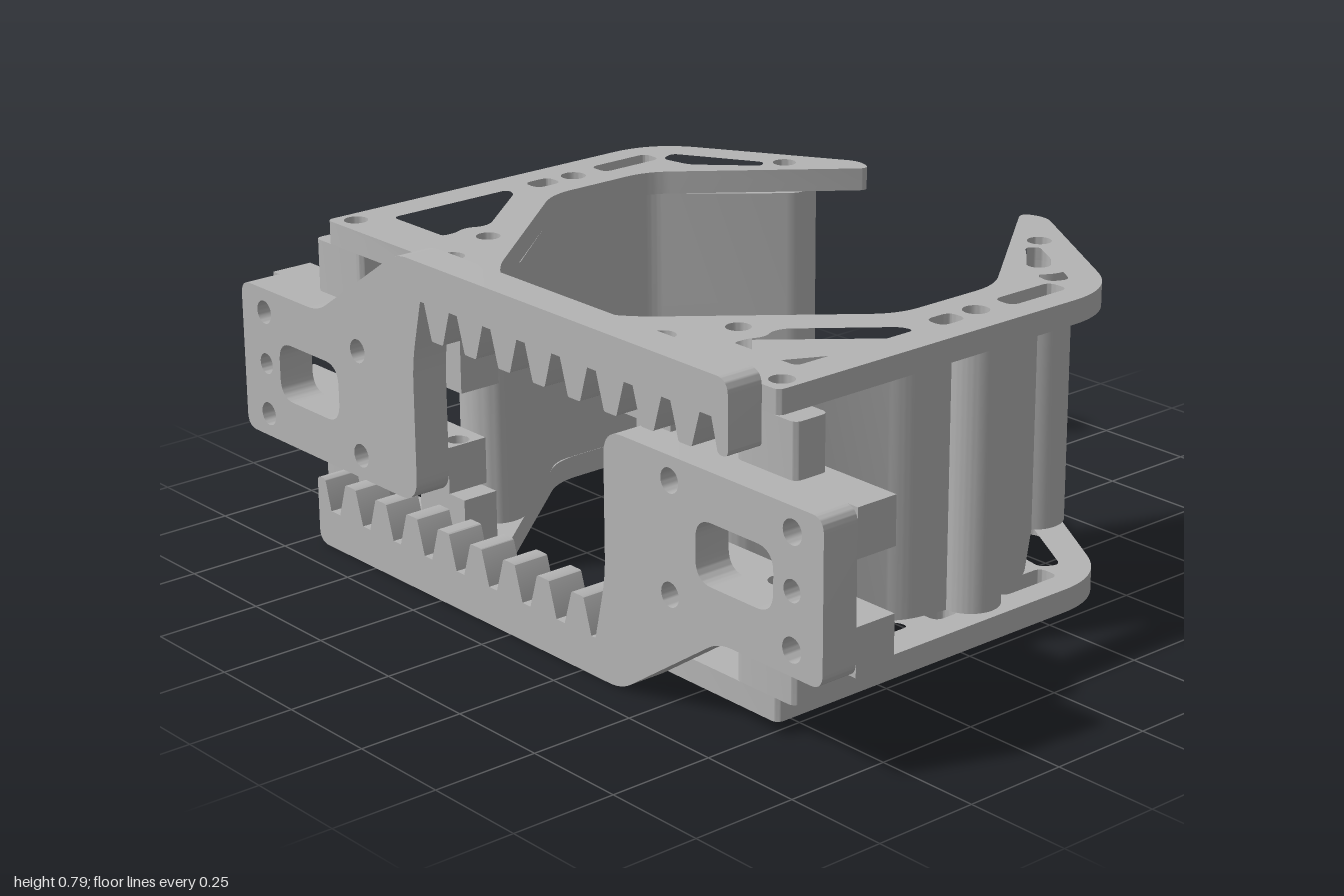
import * as THREE from 'three';
import { toCreasedNormals } from 'three/addons/utils/BufferGeometryUtils.js';

const MID = 0.3925; // height of the axis about which the two jaws are mirrored by a half turn
const rad = THREE.MathUtils.degToRad;

// Closed outline from [x, y, cornerRadius] points
function outline(points, Type = THREE.Shape) {
  const path = new Type();
  points.forEach(([x, y, r = 0], i) => {
    const toward = (q) => {
      const dx = q[0] - x, dy = q[1] - y, k = r / Math.hypot(dx, dy);
      return [x + dx * k, y + dy * k];
    };
    const a = toward(points[(i + points.length - 1) % points.length]);
    const b = toward(points[(i + 1) % points.length]);
    if (i) path.lineTo(...a); else path.moveTo(...a);
    if (r) path.quadraticCurveTo(x, y, ...b);
  });
  path.closePath();
  return path;
}

const hole = (x, y, r = 0.028) => new THREE.Path().absarc(x, y, r, 0, Math.PI * 2, false);
const rect = (x0, y0, x1, y1, r = 0, Type = THREE.Shape) =>
  outline([[x0, y0, r], [x1, y0, r], [x1, y1, r], [x0, y1, r]], Type);

function extrude(shape, holes, depth) {
  shape.holes.push(...holes);
  return new THREE.ExtrudeGeometry(shape, { depth, bevelEnabled: false, curveSegments: 16 });
}
// Plan outline (x, z) raised from y0 to y1
const plan = (shape, holes, y0, y1) =>
  toCreasedNormals(extrude(shape, holes, y1 - y0).rotateX(Math.PI / 2).translate(0, y1, 0), 0.6);
// Side outline (z, y) spanning x0 to x1
const side = (shape, holes, x0, x1) =>
  toCreasedNormals(extrude(shape, holes, x1 - x0).rotateY(-Math.PI / 2).translate(x1, 0, 0), 0.6);

// Flat jaw plate with lightening cut-outs
function plateGeometry(y0, y1) {
  const shape = outline([
    [-0.58, 0.77, 0.02], [0.393, 0.77, 0.12], [0.67, 0.31, 0.035], [0.645, 0.25, 0.03],
    [0.22, 0.585, 0.06], [-0.07, 0.585, 0.06], [-0.49, 0.24, 0.04], [-0.57, 0.135, 0.01], [-0.58, 0.15],
  ]);
  const holes = [
    outline([[-0.455, 0.685, 0.02], [-0.12, 0.685, 0.02], [-0.13, 0.65, 0.015], [-0.32, 0.495, 0.02],
      [-0.35, 0.495, 0.01], [-0.38, 0.51, 0.02], [-0.42, 0.495, 0.01], [-0.455, 0.495, 0.01]], THREE.Path),
    outline([[0.325, 0.645, 0.02], [0.37, 0.665, 0.02], [0.49, 0.46, 0.015], [0.465, 0.44, 0.015],
      [0.34, 0.565, 0.02]], THREE.Path),
    rect(-0.058, 0.65, 0.015, 0.704, 0.024, THREE.Path),
    rect(0.148, 0.65, 0.32, 0.706, 0.022, THREE.Path),
    hole(-0.53, 0.725), hole(-0.53, 0.36), hole(-0.38, 0.425), hole(0.07, 0.675, 0.03), hole(0.525, 0.425),
  ];
  return plan(shape, holes, y0, y1);
}

// Gripping wall that joins three screw bosses
function wallGeometry() {
  const shape = new THREE.Shape();
  shape.absarc(-0.38, 0.425, 0.075, rad(-50), rad(-250), true);
  shape.lineTo(-0.14, 0.63);
  shape.quadraticCurveTo(-0.1, 0.665, -0.04, 0.668);
  shape.lineTo(-0.01, 0.675);
  shape.absarc(0.07, 0.675, 0.07, rad(180), rad(20), true);
  shape.quadraticCurveTo(0.15, 0.672, 0.2, 0.67);
  shape.quadraticCurveTo(0.25, 0.665, 0.29, 0.632);
  shape.absarc(0.525, 0.425, 0.077, rad(135), rad(-128), true);
  shape.lineTo(0.25, 0.562);
  shape.quadraticCurveTo(0.22, 0.586, 0.18, 0.586);
  shape.lineTo(-0.03, 0.586);
  shape.quadraticCurveTo(-0.07, 0.586, -0.1, 0.561);
  shape.closePath();
  const holes = [hole(-0.38, 0.425), hole(0.07, 0.675, 0.03), hole(0.525, 0.425)];
  return plan(shape, holes, 0.085, 0.7);
}

// Toothed rack rising into the mounting end plate
function rackGeometry() {
  const points = [
    [-0.72, 0, 0.035], [0.38, 0, 0.04], [0.69, 0.21, 0.04], [1, 0.21, 0.035], [1, 0.575, 0.035],
    [0.33, 0.575, 0.06], [0.33, 0.24, 0.05], [0.295, 0.09],
  ];
  const pitch = 0.118;
  for (let k = 2; k >= -5; k--) {
    const z = k * pitch;
    points.push([z + 0.045, 0.09], [z + 0.02, 0.172, 0.005], [z - 0.02, 0.172, 0.005], [z - 0.045, 0.09]);
  }
  points.push([-0.67, 0.09], [-0.69, 0.165, 0.01], [-0.72, 0.165, 0.015]);
  const holes = [
    rect(0.62, 0.325, 0.855, 0.465, 0.05, THREE.Path),
    hole(0.91, 0.395, 0.025),
    ...[0.91, 0.54].flatMap((z) => [hole(z, 0.52), hole(z, 0.268)]),
  ];
  return side(outline(points), holes, -0.67, -0.58);
}

function createJaw(material) {
  const jaw = new THREE.Group();
  const add = (name, geometry) => {
    const mesh = new THREE.Mesh(geometry, material);
    mesh.name = name;
    jaw.add(mesh);
  };
  add('lowerPlate', plateGeometry(0.03, 0.085));
  add('upperPlate', plateGeometry(0.7, 0.755));
  add('gripWall', wallGeometry());
  add('rack', rackGeometry());

  // Slide rails: drilled downwards along the jaw, drilled crosswise at the end
  for (const [y0, y1, inner] of [[0.21, 0.32, 0.275], [0.465, 0.575, 0.33]]) {
    add('rail', plan(rect(-0.58, inner, -0.475, 0.84), [hole(-0.53, 0.36, 0.026), hole(-0.53, 0.725)], y0, y1));
    add('railEnd', side(rect(0.84, y0, 1, y1), [hole(0.91, y0 < 0.3 ? 0.268 : 0.52)], -0.58, -0.475));
  }
  // Spacer posts between rails and plates
  for (const [y0, y1] of [[0.085, 0.21], [0.575, 0.7]]) {
    add('outerPost', plan(rect(-0.58, 0.64, -0.49, 0.82, 0.02), [hole(-0.53, 0.725)], y0, y1));
    add('innerPost', plan(rect(-0.58, 0.275, -0.49, 0.44), [hole(-0.53, 0.36)], y0, y1));
  }
  return jaw;
}

export function createModel() {
  const model = new THREE.Group();
  model.name = 'parallelGripper';
  const grey = new THREE.MeshStandardMaterial({ color: 0xb4b4b4 });
  grey.name = 'grey';

  const leftJaw = createJaw(grey);
  leftJaw.name = 'frontJaw';
  // The second jaw is the first one turned half round the x axis
  const rightJaw = leftJaw.clone();
  rightJaw.name = 'backJaw';
  rightJaw.rotation.x = Math.PI;
  rightJaw.position.y = MID * 2;
  model.add(leftJaw, rightJaw);
  return model;
}
